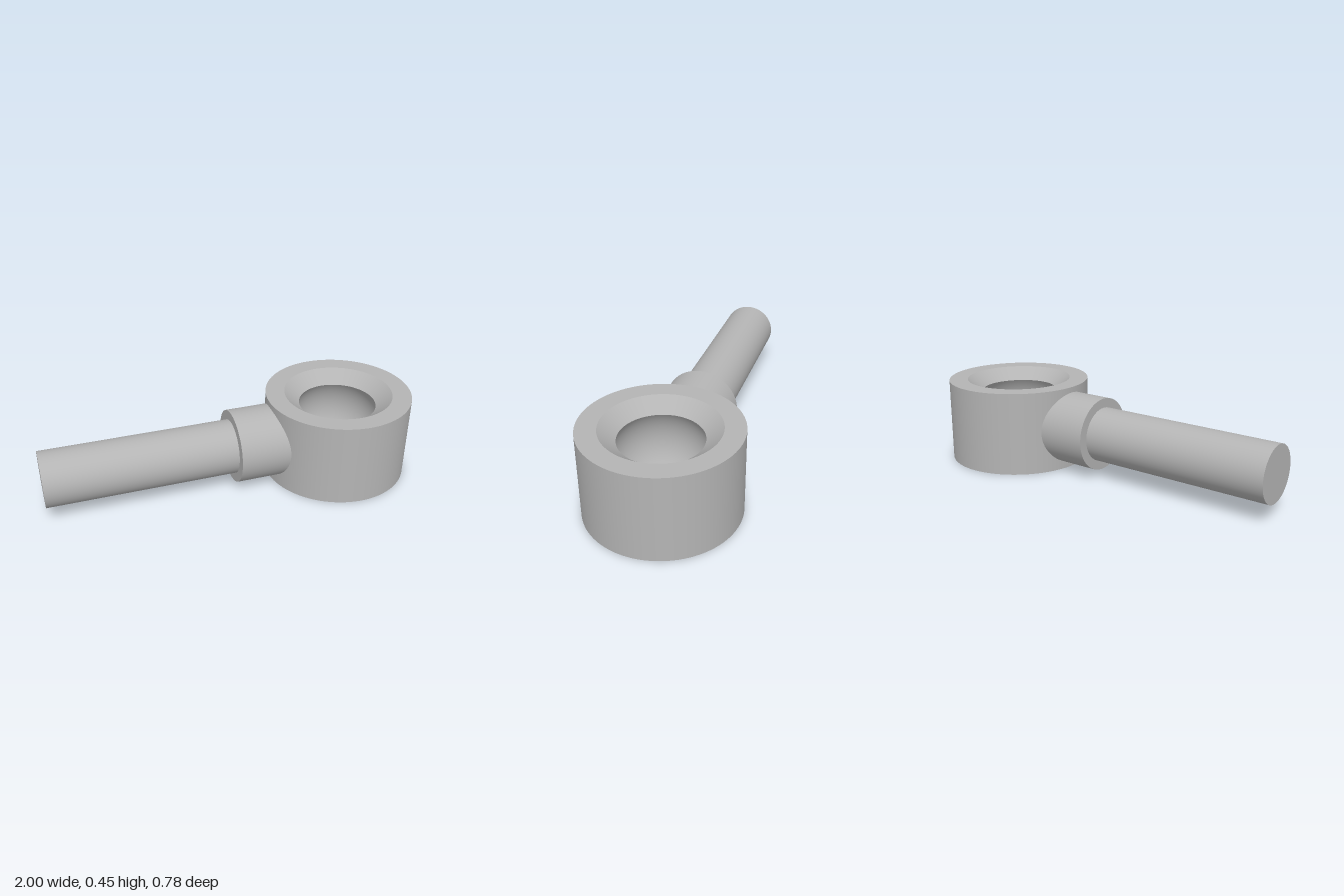
import * as THREE from 'three';
import { mergeGeometries } from 'three/addons/utils/BufferGeometryUtils.js';

const H = 0.45, MID = H / 2;          // eye height and shank axis height
const EYE_X = 0.608, EYE_R = 0.392;   // eye centre and outer radius
const RIM_R = 0.29, THROAT_R = 0.207, THROAT_DEPTH = 0.067;

// Revolves each profile section separately, so the edges between them stay sharp
function revolve(sections) {
  return mergeGeometries(sections.map((pts) =>
    new THREE.LatheGeometry(pts.map(([r, y]) => new THREE.Vector2(r, y)), 96)));
}

// Straight-sided profile: one section per pair of neighbouring points
function straight(pts) {
  return pts.slice(1).map((p, i) => [pts[i], p]);
}

export function createModel() {
  const steel = new THREE.MeshStandardMaterial({ color: 0xb4b4b4 });
  steel.name = 'grey steel';
  const group = new THREE.Group();
  group.name = 'rodEnd';

  const add = (name, geometry) => {
    const mesh = new THREE.Mesh(geometry, steel);
    mesh.name = name;
    group.add(mesh);
    return mesh;
  };

  // Eye: outer wall, flat rims and countersinks around a spherical seat
  const half = MID - THROAT_DEPTH;
  const seatR = Math.hypot(half, THROAT_R);
  const seatAngle = Math.asin(half / seatR);
  const seat = [];
  for (let i = 0; i <= 24; i++) {
    const a = seatAngle * (1 - i / 12);
    seat.push([seatR * Math.cos(a), MID + seatR * Math.sin(a)]);
  }
  const eye = add('eye', revolve([
    ...straight([[EYE_R, 0], [EYE_R, H], [RIM_R, H], [THROAT_R, H - THROAT_DEPTH]]),
    seat,
    ...straight([[THROAT_R, THROAT_DEPTH], [RIM_R, 0], [EYE_R, 0]]),
  ]));
  eye.position.x = EYE_X;

  // Shank and collar lie along x; the collar ends inside the eye wall
  const shank = add('shank', revolve(straight([[0, -1], [0.145, -1], [0.145, 0]])));
  const collar = add('collar', revolve(straight([[0.145, 0], [0.195, 0], [0.195, 0.278]])));
  for (const part of [shank, collar]) {
    part.rotation.z = -Math.PI / 2;
    part.position.y = MID;
  }

  return group;
}
